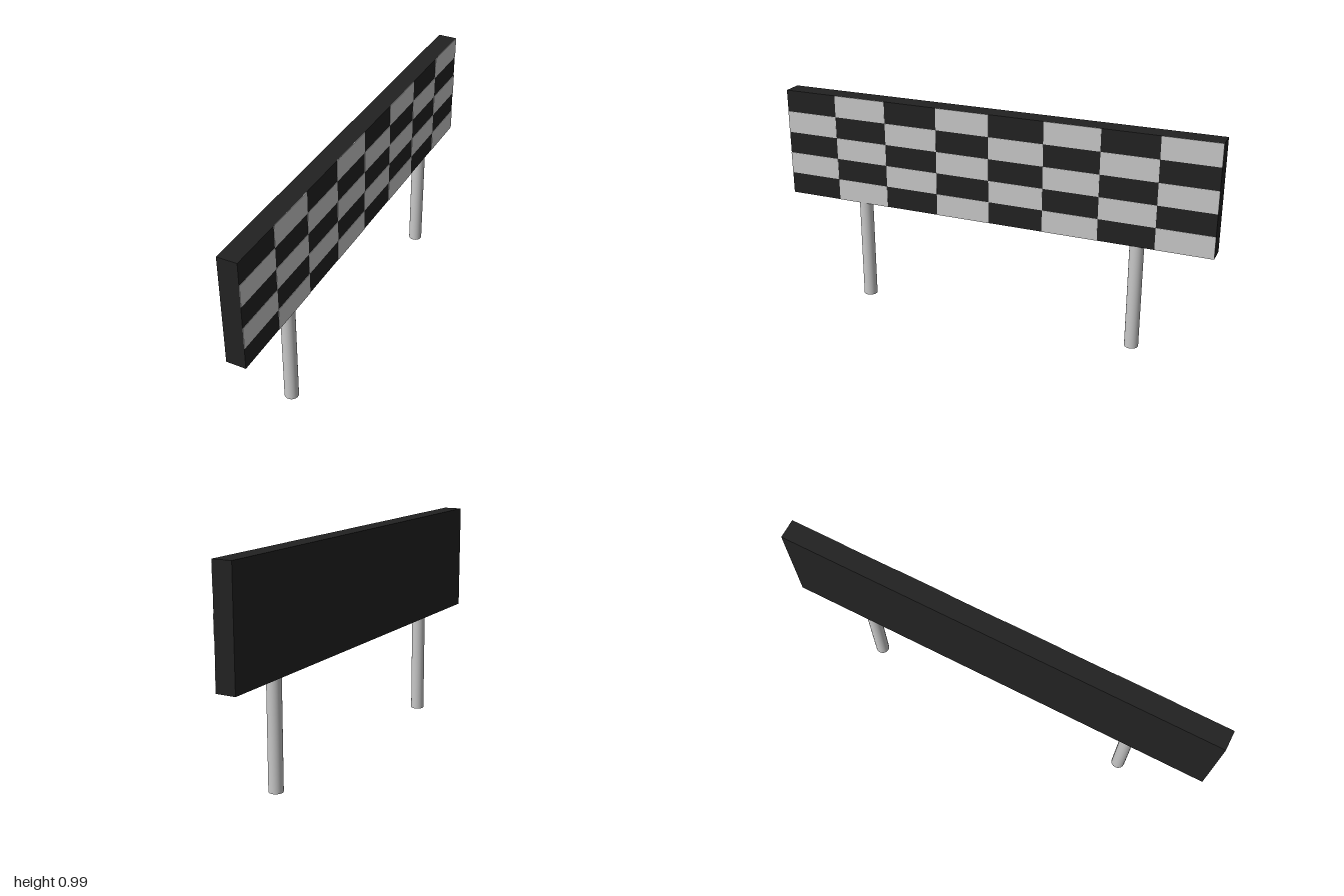
import * as THREE from 'three';

export function createModel() {
  const group = new THREE.Group();
  const black = new THREE.MeshStandardMaterial({ color: 0x222222 });
  black.name = 'black';
  const lightGrey = new THREE.MeshStandardMaterial({ color: 0xc8c8c8 });
  lightGrey.name = 'light grey';

  const add = (name, geometry, material, x, y, z) => {
    const mesh = new THREE.Mesh(geometry, material);
    mesh.name = name;
    mesh.position.set(x, y, z);
    group.add(mesh);
  };

  // Sign board
  const bottom = 0.488, height = 0.499, faceX = 0.043;
  add('board', new THREE.BoxGeometry(0.087, height, 2), black, -0.0015, bottom + height / 2, 0);

  // Light squares of the chequered side, as thin plates on the board
  const columns = 8, rows = 5;
  const tileW = 2 / columns, tileH = height / rows;
  const tile = new THREE.BoxGeometry(0.002, tileH, tileW);
  for (let c = 0; c < columns; c++) {
    for (let r = 0; r < rows; r++) {
      if ((c + r) % 2 === 0) continue;
      add('lightTile', tile, lightGrey, faceX - 0.001 + 0.0005,
        bottom + height - (r + 0.5) * tileH, 1 - (c + 0.5) * tileW);
    }
  }

  // Two round posts, the front one slightly shorter
  const addPost = (name, z, y0) => {
    const top = bottom + 0.01;
    add(name, new THREE.CylinderGeometry(0.031, 0.031, top - y0, 32), lightGrey, 0.01, (top + y0) / 2, z);
  };
  addPost('frontPost', 0.63, 0.012);
  addPost('backPost', -0.667, 0);

  return group;
}
